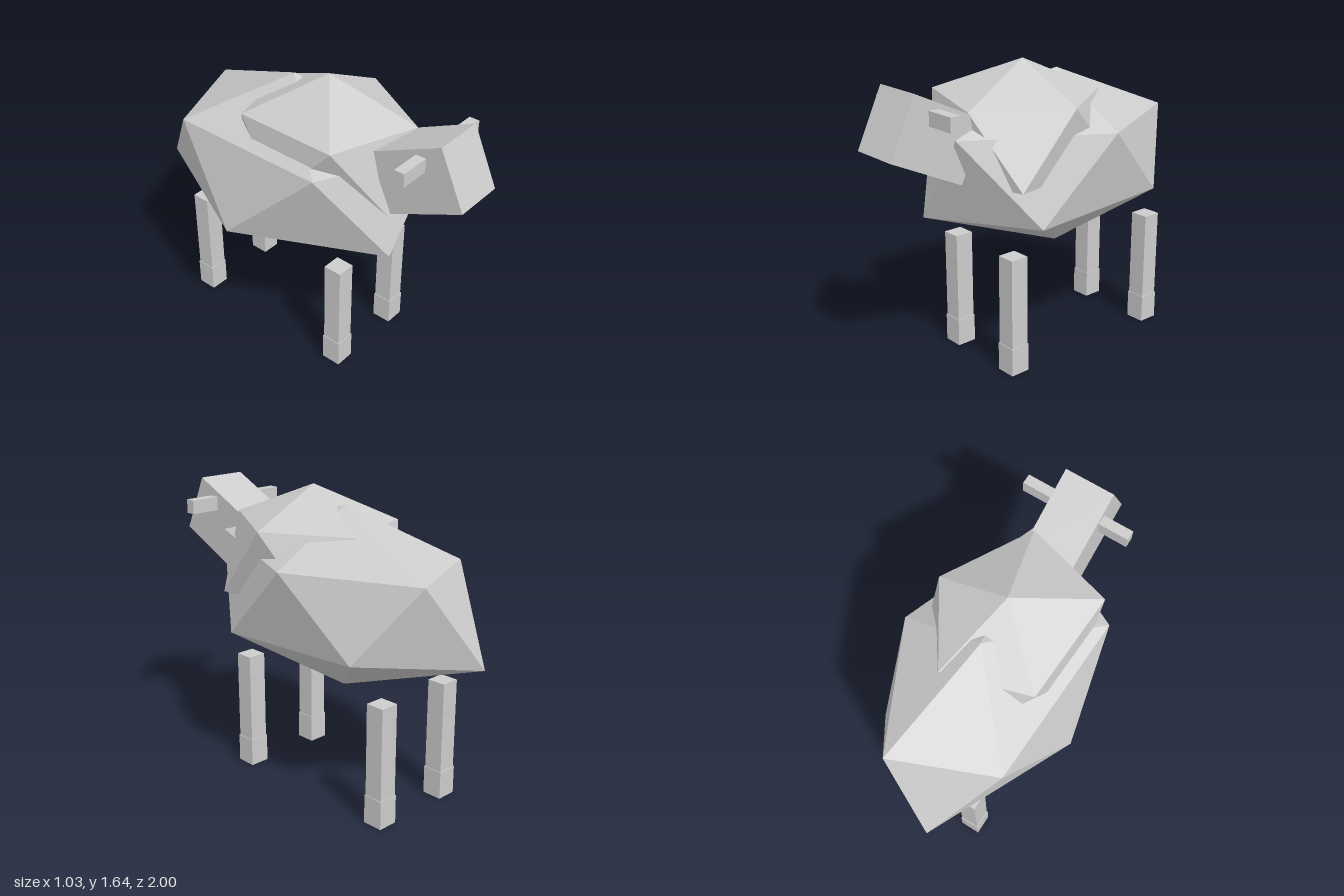
import * as THREE from 'three';

// Twenty-sided lump from a top point, two rings of five and a bottom point
function lump(top, upper, lower, bottom) {
  const pos = [];
  const tri = (...corners) => corners.forEach((c) => pos.push(...c));
  for (let i = 0; i < 5; i++) {
    const j = (i + 1) % 5;
    tri(top, upper[j], upper[i]);
    tri(upper[i], upper[j], lower[i]);
    tri(lower[i], upper[j], lower[j]);
    tri(bottom, lower[i], lower[j]);
  }
  const g = new THREE.BufferGeometry();
  g.setAttribute('position', new THREE.Float32BufferAttribute(pos, 3));
  g.computeVertexNormals();
  return g;
}

export function createModel() {
  const group = new THREE.Group();
  const grey = new THREE.MeshStandardMaterial({ color: 0xcccccc, flatShading: true });
  grey.name = 'light grey';

  const add = (name, geometry, x = 0, y = 0, z = 0) => {
    const mesh = new THREE.Mesh(geometry, grey);
    mesh.name = name;
    mesh.position.set(x, y, z);
    group.add(mesh);
    return mesh;
  };

  // Long faceted body
  add('body', lump(
    [0.035, 1.56, -0.18],
    [[0.51, 1.285, -0.18], [0.2, 1.325, 0.63], [-0.41, 1.32, 0.33], [-0.37, 1.28, -0.63], [0.18, 1.28, -0.86]],
    [[0.45, 0.845, 0.28], [-0.13, 0.835, 0.61], [-0.52, 0.83, -0.18], [-0.13, 0.82, -1], [0.41, 0.87, -0.59]],
    [0.035, 0.56, -0.18],
  ));

  // Shoulder wool, partly sunk into the body
  add('shoulderWool', lump(
    [0.035, 1.64, 0.06],
    [[0.44, 1.44, 0.05], [0.17, 1.445, 0.53], [-0.34, 1.465, 0.38], [-0.31, 1.44, -0.24], [0.16, 1.435, -0.38]],
    [[0.41, 1.05, 0.38], [-0.1, 1.06, 0.56], [-0.38, 1.1, 0.05], [-0.1, 1.1, -0.43], [0.38, 1.1, -0.27]],
    [0.035, 0.92, 0.06],
  ));

  // Raised head
  const head = add('head', new THREE.BoxGeometry(0.284, 0.344, 0.455), 0.038, 1.338, 0.717);
  head.rotation.x = -0.44;

  // Ears, one on each side of the head
  for (const side of [-1, 1]) {
    add(side > 0 ? 'leftEar' : 'rightEar',
      new THREE.BoxGeometry(0.19, 0.077, 0.058), 0.038 + side * 0.218, 1.458, 0.741);
  }

  // Legs with slightly wider hooves
  for (const x of [-0.198, 0.273]) {
    for (const z of [0.332, -0.682]) {
      const name = (z > 0 ? 'front' : 'rear') + (x > 0 ? 'Left' : 'Right');
      add(name + 'Leg', new THREE.BoxGeometry(0.106, 0.51, 0.106), x, 0.41, z);
      add(name + 'Hoof', new THREE.BoxGeometry(0.114, 0.158, 0.114), x, 0.079, z);
    }
  }
  return group;
}
